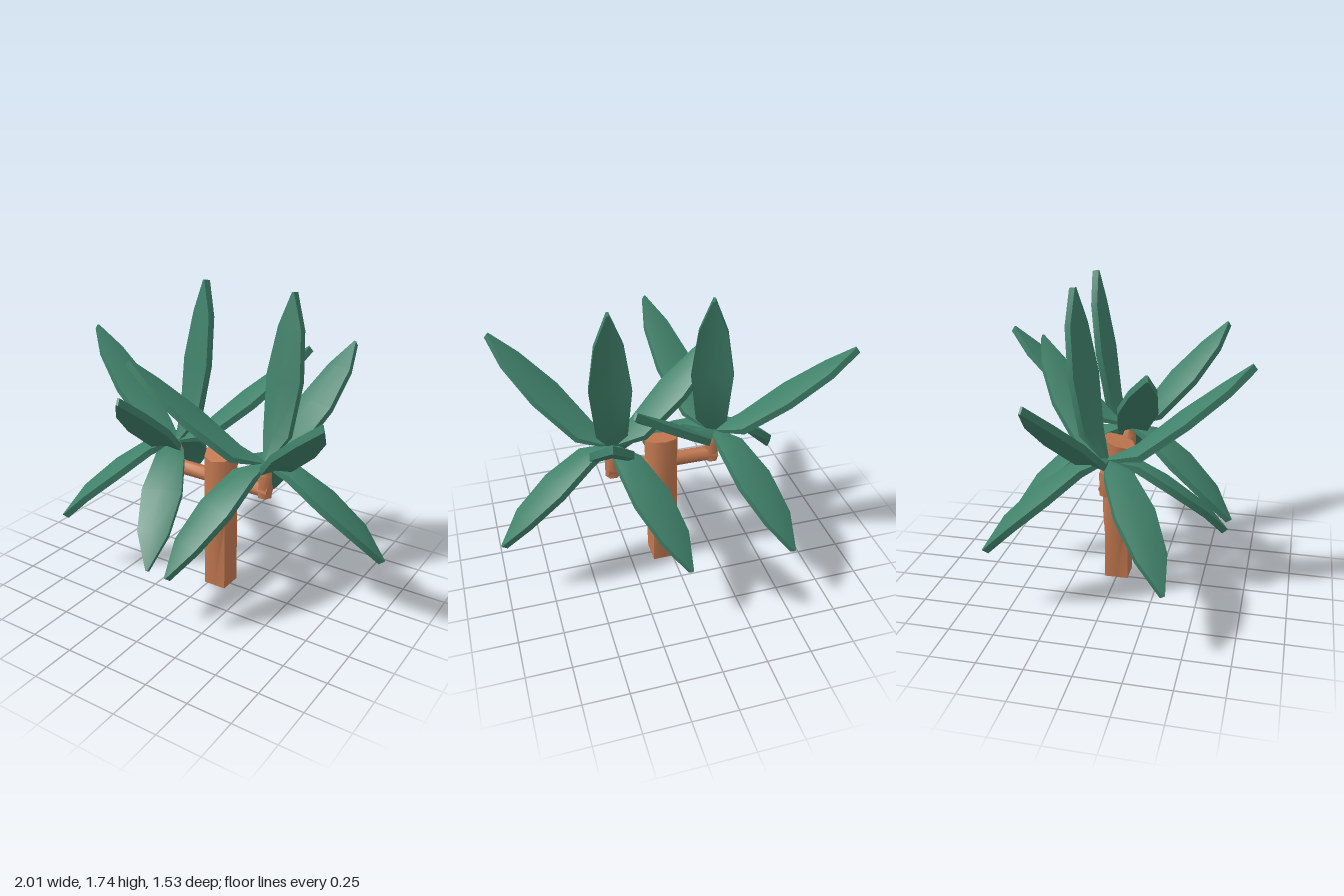
import * as THREE from 'three';
import { toCreasedNormals } from 'three/addons/utils/BufferGeometryUtils.js';

const leafGreen = new THREE.MeshStandardMaterial({ color: 0x3f8069 });
leafGreen.name = 'leaf green';
const barkBrown = new THREE.MeshStandardMaterial({ color: 0xc27850 });
barkBrown.name = 'bark brown';

// Leaf centre lines: [distance out, height, half width]
const RISING = [[0, 0, 0.015], [0.16, 0.05, 0.085], [0.40, 0.24, 0.112], [0.62, 0.40, 0.075], [0.77, 0.51, 0.006]];
const DROOPING = [[0, 0, 0.015], [0.16, -0.02, 0.08], [0.36, -0.15, 0.112], [0.55, -0.31, 0.085], [0.67, -0.47, 0.006]];
const UPRIGHT_TILT = 0.76;

// Thick lance-shaped slab with a shallow ridge along its middle, running along +x
function leafGeometry(profile, tilt = 0) {
  const c = Math.cos(tilt), s = Math.sin(tilt);
  const line = profile.map(([r, y, w]) => [r * c - y * s, r * s + y * c, w]);
  const positions = [], index = [];
  const half = 0.019;
  line.forEach(([r, y, w], i) => {
    const a = line[Math.max(i - 1, 0)], b = line[Math.min(i + 1, line.length - 1)];
    const len = Math.hypot(b[0] - a[0], b[1] - a[1]);
    const nx = -(b[1] - a[1]) / len, ny = (b[0] - a[0]) / len;
    const t = i === 0 ? 0.4 * half : half;
    const ridge = w * 0.2;
    const ring = [[w, t - ridge], [0, t], [-w, t - ridge], [-w, -t - ridge], [0, -t], [w, -t - ridge]];
    for (const [z, h] of ring) positions.push(r + nx * h, y + ny * h, z);
  });
  const n = 6;
  for (let i = 0; i < line.length - 1; i++) {
    for (let j = 0; j < n; j++) {
      const a = i * n + j, b = i * n + (j + 1) % n;
      index.push(a, a + n, b, b, a + n, b + n);
    }
  }
  const e = (line.length - 1) * n;
  for (let j = 1; j < n - 1; j++) {
    index.push(0, j, j + 1);
    index.push(e, e + j + 1, e + j);
  }
  const geo = new THREE.BufferGeometry();
  geo.setAttribute('position', new THREE.Float32BufferAttribute(positions, 3));
  geo.setIndex(index);
  return toCreasedNormals(geo, 0.75);
}

// Trunk: square at the foot, swelling to eight sides, with a slanted top
function trunkGeometry() {
  const geo = new THREE.CylinderGeometry(0.096, 0.096, 0.84, 8, 2);
  geo.translate(0, 0.42, 0);
  const p = geo.attributes.position;
  for (let i = 0; i < p.count; i++) {
    const x = p.getX(i), y = p.getY(i), z = p.getZ(i);
    const onAxis = Math.min(Math.abs(x), Math.abs(z)) < 0.001;
    if (y < 0.01 && onAxis) p.setXYZ(i, x * 0.7, y, z * 0.7);
    if (y > 0.83) p.setY(i, y - z * 0.3);
  }
  return toCreasedNormals(geo, 0.9);
}

export function createModel() {
  const model = new THREE.Group();
  model.name = 'plant';

  const add = (parent, geo, material, name) => {
    const mesh = new THREE.Mesh(geo, material);
    mesh.name = name;
    parent.add(mesh);
    return mesh;
  };

  add(model, trunkGeometry(), barkBrown, 'trunk').position.x = 0.05;

  const rising = leafGeometry(RISING);
  const drooping = leafGeometry(DROOPING);
  const upright = leafGeometry(RISING, UPRIGHT_TILT);

  // Leaf headings in degrees from +x towards +z
  const crowns = [
    { name: 'left', x: 0.335, up: [-78.6, 42.1, 161.9], down: [-11.2, -114.7, 108.3], tall: -81 },
    { name: 'right', x: -0.25, up: [195.8, -42.4, 75.3], down: [245, 143, 69], tall: -68 },
  ];

  for (const { name, x, up, down, tall } of crowns) {
    // Elbow branch: arm out of the trunk, then a short stem
    const branch = new THREE.Group();
    branch.name = name + 'Branch';
    model.add(branch);
    const reach = Math.abs(x - 0.05) + 0.03;
    const arm = new THREE.CylinderGeometry(0.042, 0.042, reach, 6);
    arm.rotateZ(Math.PI / 2);
    add(branch, toCreasedNormals(arm, 1.1), barkBrown, 'arm')
      .position.set(0.05 + Math.sign(x - 0.05) * reach / 2, 0.68, 0);
    const stem = new THREE.CylinderGeometry(0.042, 0.042, 0.13, 6);
    stem.rotateY(Math.PI / 6);
    add(branch, toCreasedNormals(stem, 1.1), barkBrown, 'stem').position.set(x, 0.705, 0);
    const neck = new THREE.CylinderGeometry(0.014, 0.042, 0.075, 6);
    neck.rotateY(Math.PI / 6);
    add(branch, toCreasedNormals(neck, 1.1), barkBrown, 'neck').position.set(x, 0.807, 0);

    // Crown of leaves
    const crown = new THREE.Group();
    crown.name = name + 'Crown';
    crown.position.set(x, 0.84, 0);
    model.add(crown);
    const place = (geo, degrees, label) => {
      add(crown, geo, leafGreen, label).rotation.y = -THREE.MathUtils.degToRad(degrees);
    };
    up.forEach((d) => place(rising, d, 'risingLeaf'));
    down.forEach((d) => place(drooping, d, 'droopingLeaf'));
    place(upright, tall, 'uprightLeaf');
  }
  return model;
}
